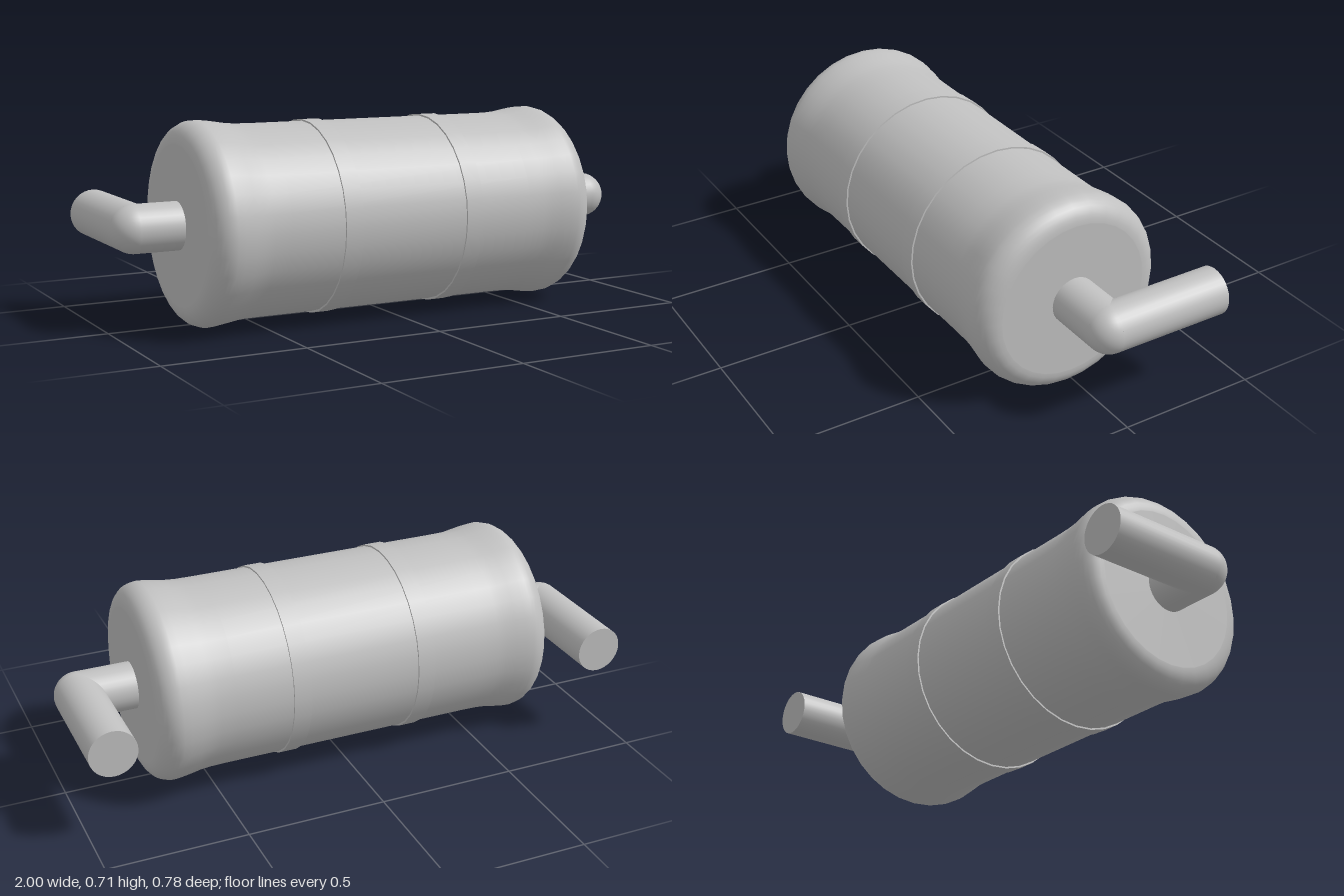
import * as THREE from 'three';

export function createModel() {
  const group = new THREE.Group();
  const metal = new THREE.MeshStandardMaterial({ color: 0xc0c0c0 });
  metal.name = 'grey metal';
  const CY = 0.355, CZ = 0.035, CX = -0.0175, PIPE_R = 0.084;

  const add = (name, geometry, x, y, z) => {
    const mesh = new THREE.Mesh(geometry, metal);
    mesh.name = name;
    mesh.position.set(x, y, z);
    group.add(mesh);
  };

  // Canister: flat ends, rounded rims and a slightly narrower waist
  const half = 0.7425, fillet = 0.075, rim = 0.355;
  const end = [[0, half], [rim - fillet - 0.002, half]];
  for (let i = 0; i <= 8; i++) {
    const a = (i / 8) * Math.PI / 2;
    end.push([rim - fillet + fillet * Math.sin(a), half - fillet + fillet * Math.cos(a)]);
  }
  end.push([0.353, 0.64], [0.347, 0.60], [0.341, 0.565], [0.338, 0.53], [0.337, 0.47]);
  const profile = [
    ...end.map(([r, h]) => new THREE.Vector2(r, -h)),
    ...end.slice().reverse().map(([r, h]) => new THREE.Vector2(r, h)),
  ];
  add('canister', new THREE.LatheGeometry(profile, 32).rotateZ(-Math.PI / 2), CX, CY, CZ);

  // Two thin straps round the waist
  for (const x of [-0.2575, 0.2175]) {
    add('strap', new THREE.CylinderGeometry(0.343, 0.343, 0.065, 32).rotateZ(-Math.PI / 2), x, CY, CZ);
  }

  // Elbow pipe at each end, turning towards the back
  for (const side of [-1, 1]) {
    const x = side * (1 - PIPE_R), inner = 0.68, back = -0.39;
    const reach = 1 - PIPE_R - inner, run = CZ - back;
    add('pipeStub', new THREE.CylinderGeometry(PIPE_R, PIPE_R, reach, 32, 1, true).rotateZ(Math.PI / 2),
      side * (inner + reach / 2), CY, CZ);
    add('pipeElbow', new THREE.SphereGeometry(PIPE_R, 32, 20), x, CY, CZ);
    add('pipeOutlet', new THREE.CylinderGeometry(PIPE_R, PIPE_R, run, 32).rotateX(Math.PI / 2),
      x, CY, CZ - run / 2);
  }
  return group;
}
